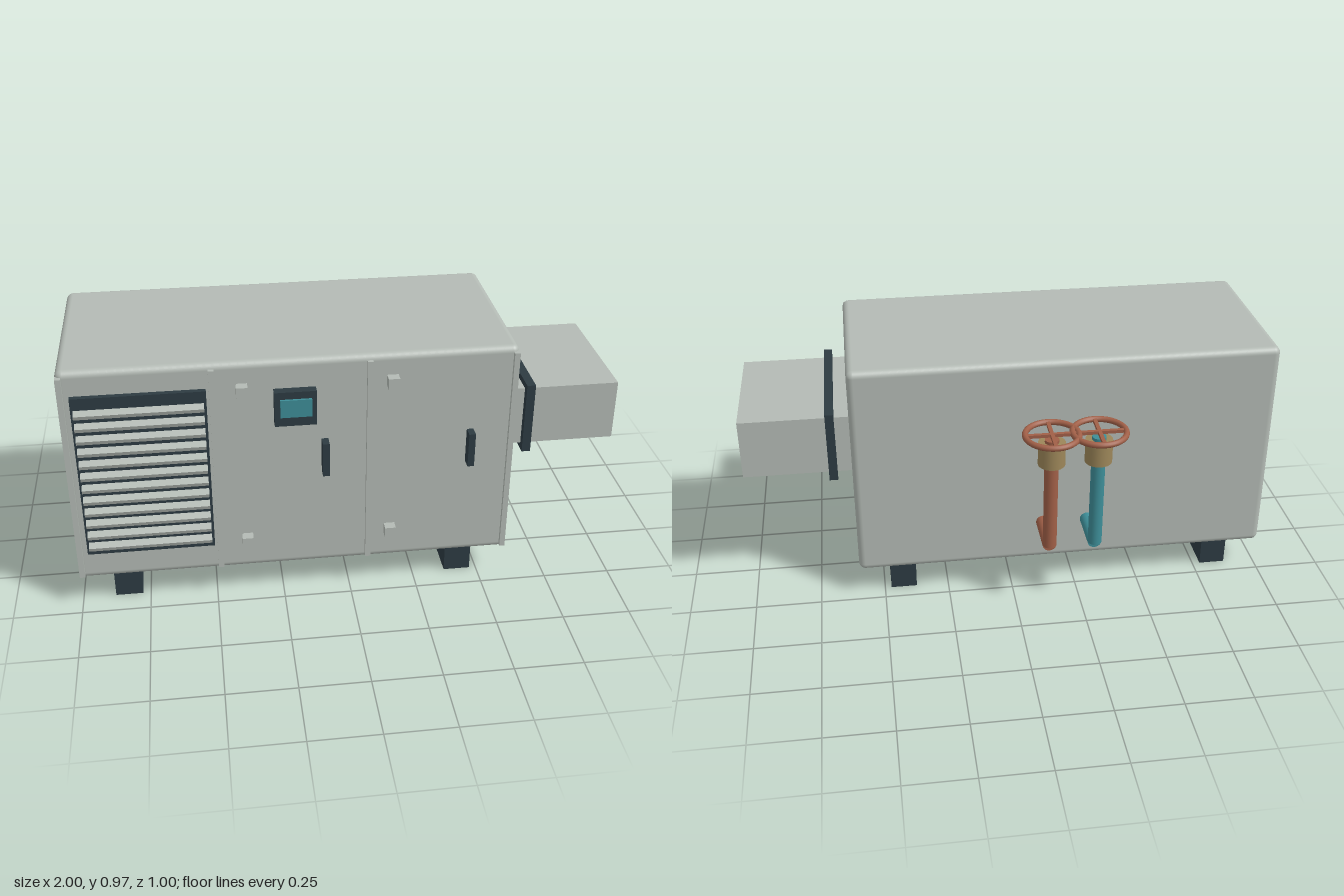
import * as THREE from 'three';
import { RoundedBoxGeometry } from 'three/addons/geometries/RoundedBoxGeometry.js';

const material = (name, color) => {
  const m = new THREE.MeshStandardMaterial({ color });
  m.name = name;
  return m;
};

export function createModel() {
  const model = new THREE.Group();
  model.name = 'airHandlingUnit';

  const grey = material('panelGrey', 0xb3bab4);
  const dark = material('darkSlate', 0x2d3b42);
  const teal = material('teal', 0x3d8d97);
  const copper = material('copper', 0xa05f47);
  const brass = material('brass', 0x9c8659);

  const add = (name, geometry, mat, parent = model) => {
    const mesh = new THREE.Mesh(geometry, mat);
    mesh.name = name;
    parent.add(mesh);
    return mesh;
  };
  // Box given by its limits on each axis
  const box = (name, mat, [x0, x1], [y0, y1], [z0, z1], parent = model) => {
    const mesh = add(name, new THREE.BoxGeometry(x1 - x0, y1 - y0, z1 - z0), mat, parent);
    mesh.position.set((x0 + x1) / 2, (y0 + y1) / 2, (z0 + z1) / 2);
    return mesh;
  };

  const front = 0.453;

  // Cabinet
  const cabinet = add('cabinet', new RoundedBoxGeometry(1.595, 0.85, 0.685, 4, 0.025), grey);
  cabinet.position.set(-0.2025, 0.545, 0.112);

  // Support rails
  for (const x of [-0.83, 0.425]) box('supportRail', dark, [x - 0.05, x + 0.05], [0, 0.125], [-0.19, 0.41]);

  // Side duct and its flange
  box('duct', grey, [0.59, 1], [0.527, 0.755], [-0.148, 0.367]);
  box('ductFlange', dark, [0.65, 0.682], [0.503, 0.778], [-0.172, 0.393]);

  // Vertical seams between front panels
  for (const x of [-0.988, -0.48, 0.066, 0.582]) {
    box('panelSeam', grey, [x - 0.01, x + 0.01], [0.135, 0.95], [front - 0.02, 0.468]);
  }

  // Louvred grille
  const grille = new THREE.Group();
  grille.name = 'grille';
  model.add(grille);
  box('grilleBack', dark, [-0.958, -0.5], [0.24, 0.878], [front - 0.005, 0.474], grille);
  for (let i = 0; i < 12; i++) {
    const slat = add('slat', new THREE.BoxGeometry(0.44, 0.016, 0.034), grey, grille);
    slat.position.set(-0.729, 0.281 + i * 0.0492, 0.482);
    slat.rotation.x = 0.35;
  }

  // Hinge blocks
  for (const x of [-0.379, 0.146]) {
    for (const y of [0.25, 0.87]) {
      box('hinge', grey, [x - 0.02, x + 0.02], [y - 0.02, y + 0.02], [front - 0.003, 0.49]);
    }
  }

  // Control display
  box('displayCase', dark, [-0.27, -0.123], [0.73, 0.862], [front - 0.003, 0.488]);
  box('displayScreen', teal, [-0.25, -0.14], [0.768, 0.835], [0.488, 0.497]);

  // Door handles
  for (const x of [-0.092, 0.432]) {
    box('doorHandle', dark, [x - 0.012, x + 0.012], [0.52, 0.652], [front - 0.003, 0.497]);
  }

  // Rear pipes with valves and handwheels
  const rod = (r, length) => new THREE.CylinderGeometry(r, r, length, 24);
  const addValve = (x, pipeMat) => {
    const valve = new THREE.Group();
    valve.name = 'valveAssembly';
    valve.position.set(x, 0, -0.391);
    model.add(valve);

    const inlet = add('inletPipe', rod(0.026, 0.17), pipeMat, valve);
    inlet.rotation.x = Math.PI / 2;
    inlet.position.set(0, 0.287, 0.085);
    add('riserPipe', rod(0.026, 0.455), pipeMat, valve).position.y = 0.5155;
    add('valveBody', rod(0.05, 0.09), brass, valve).position.y = 0.686;

    const wheel = new THREE.Group();
    wheel.name = 'handwheel';
    wheel.position.y = 0.76;
    valve.add(wheel);
    add('wheelRim', new THREE.TorusGeometry(0.097, 0.011, 12, 40), copper, wheel).rotation.x = Math.PI / 2;
    for (const [sx, sz] of [[0.194, 0.014], [0.014, 0.194]]) {
      add('wheelSpoke', new THREE.BoxGeometry(sx, 0.012, sz), copper, wheel);
    }
  };
  addValve(-0.292, teal);
  addValve(-0.12, copper);

  return model;
}
